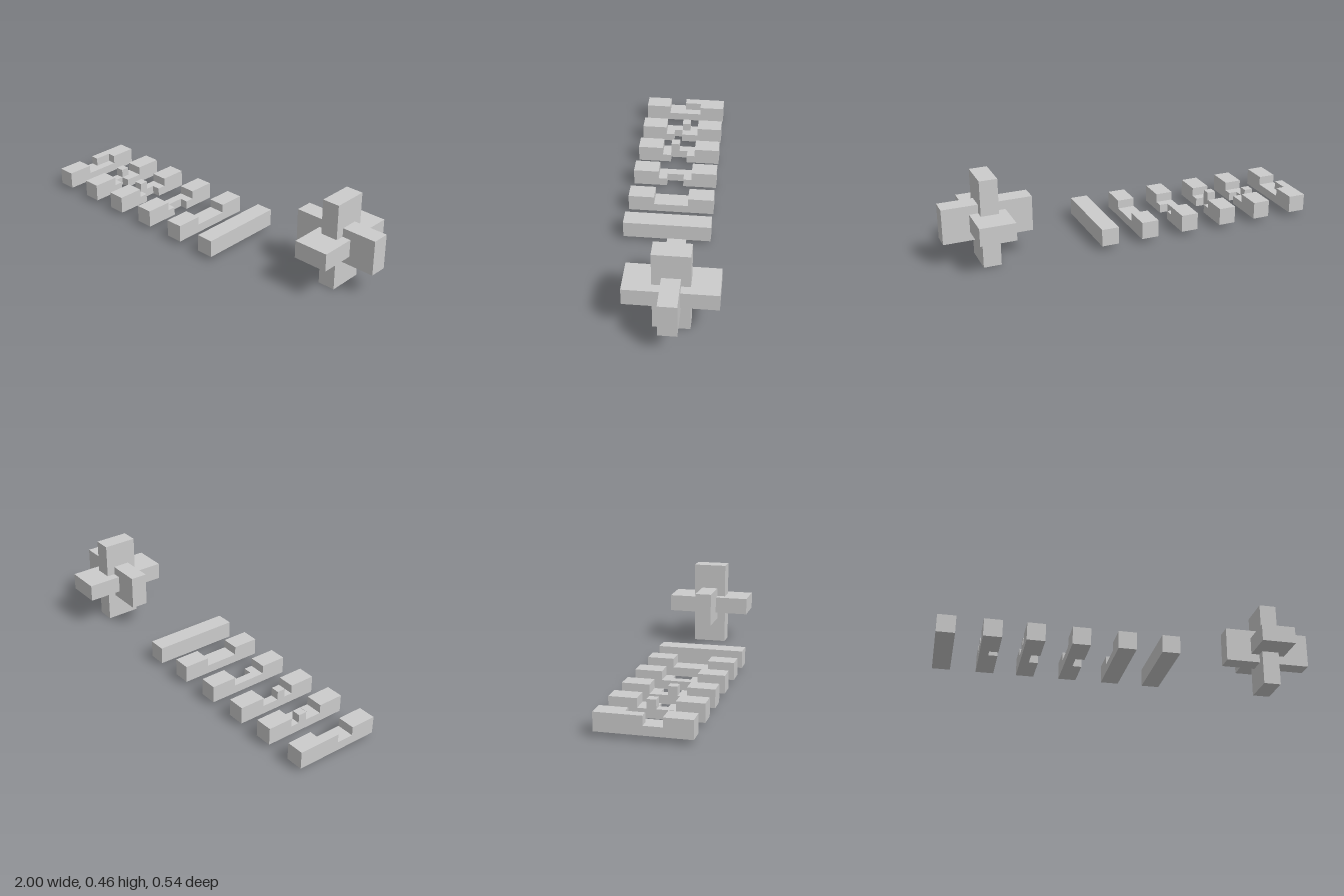
import * as THREE from 'three';

const U = 0.046; // unit: bars are 2 x 2 x 10 units
const GRID = [[-1, 0, 1], [0, 1, 2], [-5, -2, -1, 0, 1, 2, 5]];
const grey = new THREE.MeshStandardMaterial({ color: 0xcccccc, flatShading: true });

// Closed skin around the solid cells of a bar; solid(i, j, k) tells if a cell is filled.
function barGeometry(solid) {
  const counts = GRID.map(g => g.length - 1);
  const filled = c => c.every((v, a) => v >= 0 && v < counts[a]) && solid(...c);
  const positions = [];
  for (let i = 0; i < counts[0]; i++)
    for (let j = 0; j < counts[1]; j++)
      for (let k = 0; k < counts[2]; k++) {
        const cell = [i, j, k];
        if (!filled(cell)) continue;
        for (let a = 0; a < 3; a++)
          for (const side of [0, 1]) {
            const next = [...cell];
            next[a] += side ? 1 : -1;
            if (filled(next)) continue;
            const b = (a + 1) % 3, c = (a + 2) % 3;
            const quad = [[0, 0], [1, 0], [1, 1], [0, 1]].map(([p, q]) => {
              const v = [0, 0, 0];
              v[a] = GRID[a][cell[a] + side] * U;
              v[b] = GRID[b][cell[b] + p] * U;
              v[c] = GRID[c][cell[c] + q] * U;
              return v;
            });
            if (!side) quad.reverse();
            for (const n of [0, 1, 2, 0, 2, 3]) positions.push(...quad[n]);
          }
      }
  const geometry = new THREE.BufferGeometry();
  geometry.setAttribute('position', new THREE.Float32BufferAttribute(positions, 3));
  geometry.computeVertexNormals();
  return geometry;
}

export function createModel() {
  const model = new THREE.Group();
  model.name = 'burrPuzzle';

  // Loose bars: keep = middle cells left standing on the upper right-hand row,
  // cut = middle cells removed from the lower left-hand row (1 is rearmost)
  const bars = [
    { name: 'cornerNotchBar', x: -0.954, keep: [1, 2], cut: [] },
    { name: 'rearStudBar', x: -0.73, keep: [2], cut: [3] },
    { name: 'frontStudBar', x: -0.52, keep: [3], cut: [2, 3] },
    { name: 'sideNotchBar', x: -0.295, keep: [], cut: [2, 3] },
    { name: 'plainNotchBar', x: -0.065, keep: [], cut: [] },
    { name: 'keyBar', x: 0.159, whole: true },
  ];
  for (const { name, x, keep, cut, whole } of bars) {
    const solid = (i, j, k) => {
      if (whole || k === 0 || k === 5) return true;
      return j === 0 ? !(i === 1 && cut.includes(k)) : i === 0 && keep.includes(k);
    };
    const bar = new THREE.Mesh(barGeometry(solid), grey);
    bar.name = name;
    bar.position.set(x, 0.025, 0.041);
    model.add(bar);
  }

  // Assembled puzzle: three crossing pairs of bars
  const assembled = new THREE.Group();
  assembled.name = 'assembledBurr';
  const pairs = { crosswisePair: [10, 4, 2], uprightPair: [2, 10, 4], lengthwisePair: [4, 2, 10] };
  for (const [name, size] of Object.entries(pairs)) {
    const pair = new THREE.Mesh(new THREE.BoxGeometry(...size.map(s => s * U)), grey);
    pair.name = name;
    assembled.add(pair);
  }
  assembled.position.set(0.77, 5 * U, -0.043);
  model.add(assembled);
  return model;
}
